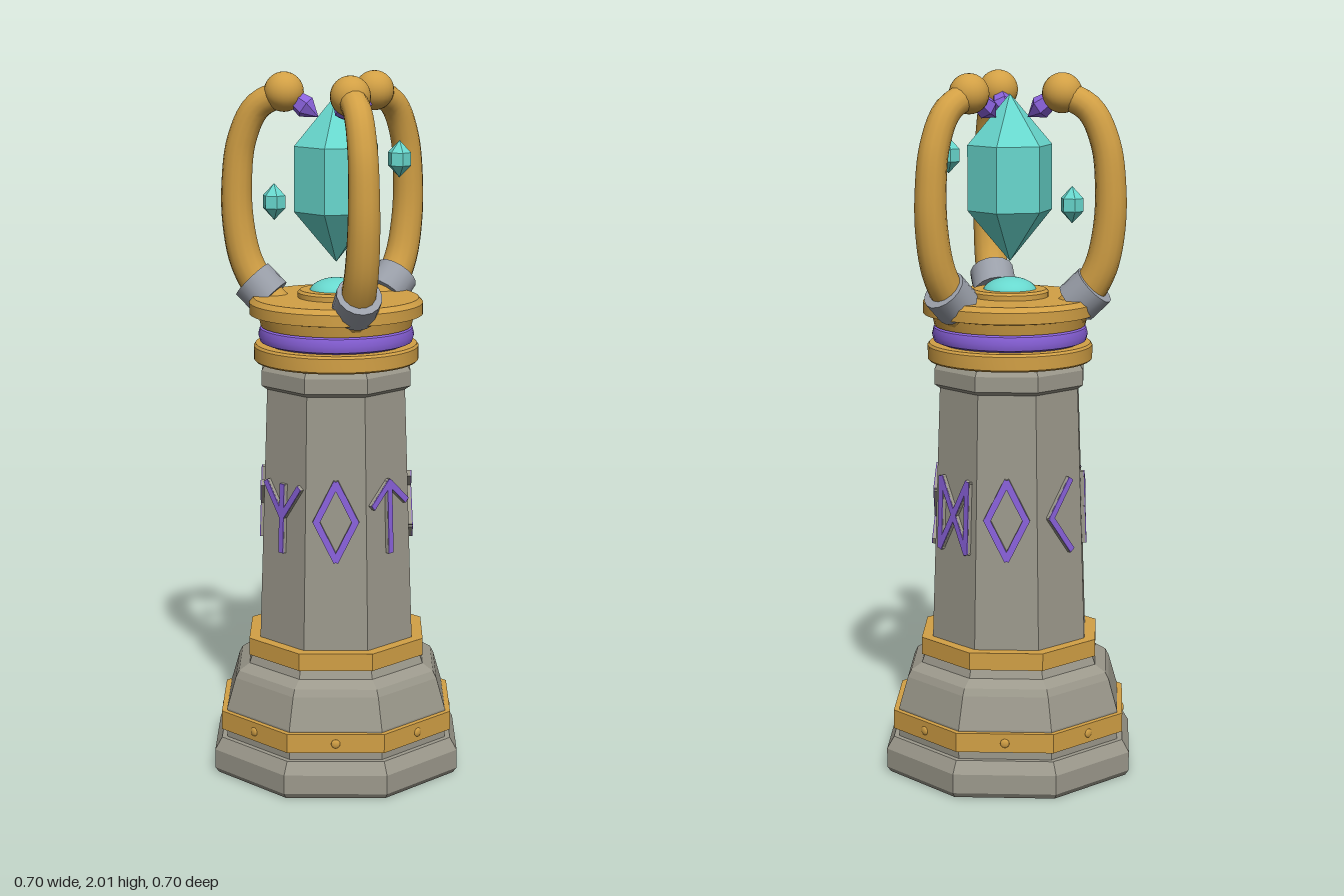
import * as THREE from 'three';
import { toCreasedNormals } from 'three/addons/utils/BufferGeometryUtils.js';

const mat = (name, color) => {
  const m = new THREE.MeshStandardMaterial({ color });
  m.name = name;
  return m;
};

export function createModel() {
  const root = new THREE.Group();
  root.name = 'crystalPillar';
  const stone = mat('stone', 0x9c998c);
  const gold = mat('gold', 0xd2a045);
  const purple = mat('purple', 0x8a62dc);
  const teal = mat('teal', 0x68d8ce);
  const steel = mat('steel', 0x9a9fa9);

  const add = (parent, name, geo, material, pos = [0, 0, 0]) => {
    const mesh = new THREE.Mesh(geo, material);
    mesh.name = name;
    mesh.position.set(...pos);
    parent.add(mesh);
    return mesh;
  };
  const points = (list) => list.map(([x, y]) => new THREE.Vector2(x, y));
  // Faceted solid of revolution
  const faceted = (profile, sides, start) => {
    const g = new THREE.LatheGeometry(points(profile), sides, start).toNonIndexed();
    g.computeVertexNormals();
    return g;
  };
  // Octagon with flats towards the axes; radii are measured to the flats
  const octagon = (profile) =>
    faceted(profile.map(([r, y]) => [r / Math.cos(Math.PI / 8), y]), 8, Math.PI / 8);
  const round = (profile) => toCreasedNormals(new THREE.LatheGeometry(points(profile), 40), 0.6);

  // Octagonal base, shaft and bands
  add(root, 'basePlinth', octagon([[0, 0], [0.34, 0], [0.35, 0.015], [0.35, 0.07], [0.33, 0.105], [0, 0.105]]), stone);
  add(root, 'baseBody', octagon([[0.315, 0.1], [0.315, 0.19], [0.29, 0.28], [0.28, 0.3], [0.25, 0.32], [0.24, 0.35], [0, 0.35]]), stone);
  add(root, 'lowerBand', octagon([[0.3, 0.13], [0.33, 0.13], [0.33, 0.185], [0.3, 0.185]]), gold);
  add(root, 'upperBand', octagon([[0.2, 0.345], [0.25, 0.345], [0.25, 0.395], [0.2, 0.395]]), gold);
  add(root, 'shaft', octagon([[0.22, 0.35], [0.195, 1.12], [0.195, 1.15]]), stone);
  add(root, 'capital', octagon([[0.19, 1.12], [0.21, 1.135], [0.21, 1.178], [0.2, 1.195], [0, 1.195]]), stone);

  // Round top rings and plate
  add(root, 'lowerRing', round([[0, 1.195], [0.23, 1.195], [0.235, 1.2], [0.235, 1.238], [0.23, 1.245], [0, 1.245]]), gold);
  add(root, 'purpleRing', round([[0.2, 1.245], [0.217, 1.252], [0.222, 1.27], [0.217, 1.29], [0.2, 1.297]]), purple);
  add(root, 'topPlate', round([[0, 1.295], [0.215, 1.295], [0.222, 1.325], [0.247, 1.33], [0.247, 1.362], [0.235, 1.376], [0, 1.376]]), gold);
  add(root, 'domeRing', round([[0.11, 1.37], [0.11, 1.39], [0.103, 1.397], [0.07, 1.397]]), gold);
  const dome = add(root, 'dome', new THREE.SphereGeometry(0.078, 32, 10, 0, Math.PI * 2, 0, Math.PI / 2), teal, [0, 1.385, 0]);
  dome.scale.y = 0.58;

  // Geometric inlays: strokes between 2D points, centred on each shaft face
  const diamond = [[0, 0.11, 0.055, 0], [0.055, 0, 0, -0.11], [0, -0.11, -0.055, 0], [-0.055, 0, 0, 0.11]];
  const fork = [[0, -0.1, 0, 0.09], [0, 0, 0.065, 0.09], [0, 0, -0.065, 0.09]];
  const arrow = [[0, -0.1, 0, 0.1], [0, 0.1, 0.065, 0.04], [0, 0.1, -0.065, 0.04]];
  const zigzag = [[-0.045, 0.1, 0.045, 0.05], [0.045, 0.05, -0.045, -0.05], [-0.045, -0.05, 0.045, -0.1]];
  const hourglass = [[-0.055, -0.1, -0.055, 0.1], [0.055, -0.1, 0.055, 0.1], [-0.055, 0.1, 0.055, -0.1], [-0.055, -0.1, 0.055, 0.1]];
  const chevron = [[0.035, 0.1, -0.04, 0], [-0.04, 0, 0.035, -0.1]];
  const branch = [[-0.03, -0.1, -0.03, 0.1], [-0.03, 0, 0.045, 0.07]];
  const inlays = [fork, diamond, arrow, zigzag, hourglass, diamond, chevron, branch];

  inlays.forEach((strokes, i) => {
    const side = new THREE.Group();
    side.name = 'side' + (i + 1);
    side.rotation.y = (i * Math.PI) / 4;
    root.add(side);

    const inlay = new THREE.Group();
    inlay.name = 'inlay';
    inlay.position.set(0, 0.77, 0.2065);
    inlay.rotation.x = -0.0325;
    side.add(inlay);
    for (const [x1, y1, x2, y2] of strokes) {
      const length = Math.hypot(x2 - x1, y2 - y1) + 0.01;
      const angle = Math.atan2(y2 - y1, x2 - x1);
      const centre = [(x1 + x2) / 2, (y1 + y2) / 2];
      add(inlay, 'inlayBed', new THREE.BoxGeometry(length, 0.019, 0.016), stone, [...centre, 0.002]).rotation.z = angle;
      add(inlay, 'inlayFace', new THREE.BoxGeometry(length, 0.018, 0.003), purple, [...centre, 0.0112]).rotation.z = angle;
    }

    // Rivet on the lower band
    const rivet = add(side, 'rivet', new THREE.SphereGeometry(0.013, 12, 8), gold, [0, 0.157, 0.33]);
    rivet.scale.z = 0.4;
  });

  // Curved arms with clasp, ball and claw
  const path = new THREE.CatmullRomCurve3(
    [[0.18, 1.34], [0.222, 1.388], [0.267, 1.47], [0.29, 1.58], [0.293, 1.69], [0.278, 1.81], [0.232, 1.905], [0.15, 1.95]]
      .map(([r, y]) => new THREE.Vector3(0, y, r)));
  const rings = 32, around = 14;
  const armGeo = new THREE.TubeGeometry(path, rings, 1, around);
  const pos = armGeo.attributes.position;
  const v = new THREE.Vector3();
  for (let i = 0; i < pos.count; i++) {
    const t = Math.floor(i / (around + 1)) / rings;
    const c = path.getPointAt(t);
    v.fromBufferAttribute(pos, i).sub(c).multiplyScalar(0.05 - 0.012 * t).add(c);
    pos.setXYZ(i, v.x, v.y, v.z);
  }
  const claspGeo = toCreasedNormals(new THREE.CylinderGeometry(0.064, 0.064, 0.075, 16), 0.6);
  const clawGeo = faceted([[0, -0.04], [0.024, -0.04], [0.033, 0.005], [0, 0.05]], 6, 0);
  [Math.PI, Math.PI / 3, -Math.PI / 3].forEach((angle, i) => {
    const arm = new THREE.Group();
    arm.name = ['backArm', 'leftArm', 'rightArm'][i];
    arm.rotation.y = angle;
    root.add(arm);
    add(arm, 'armTube', armGeo, gold);
    add(arm, 'clasp', claspGeo, steel, [0, 1.39, 0.222]).rotation.x = 0.8;
    add(arm, 'ball', new THREE.SphereGeometry(0.056, 24, 16), gold, [0, 1.949, 0.152]);
    add(arm, 'claw', clawGeo, purple, [0, 1.91, 0.092]).rotation.x = -2.2;
  });

  // Floating crystals
  add(root, 'mainCrystal', faceted([[0, 1.475], [0.122, 1.62], [0.122, 1.803], [0, 1.945]], 6, Math.PI / 6), teal);
  const shardGeo = faceted([[0, -0.052], [0.033, -0.018], [0.033, 0.018], [0, 0.052]], 6, 0);
  add(root, 'leftShard', shardGeo, teal, [0.157, 1.77, -0.092]);
  add(root, 'rightShard', shardGeo, teal, [-0.157, 1.64, 0.092]);

  return root;
}
